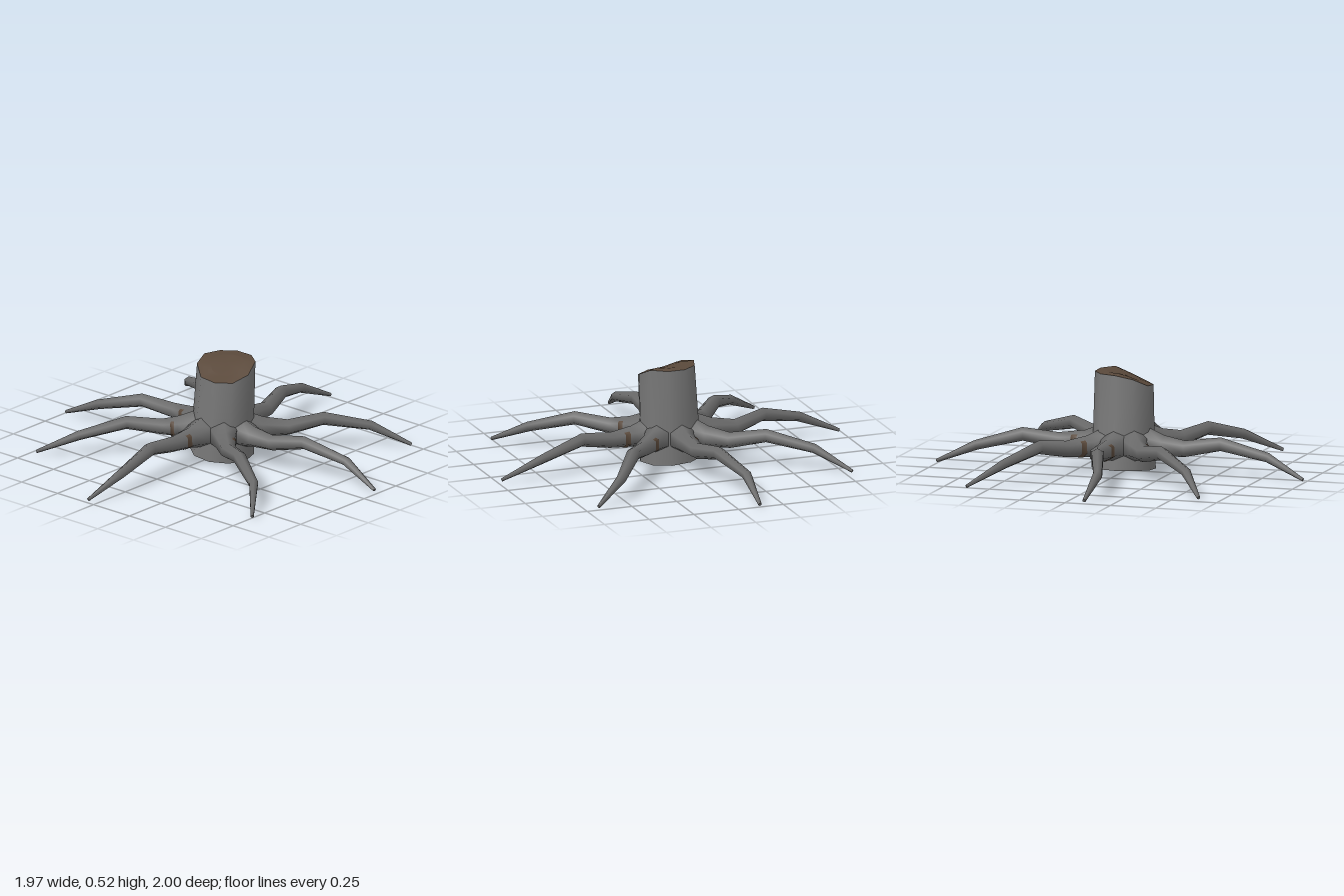
import * as THREE from 'three';

const material = (name, color) => Object.assign(new THREE.MeshStandardMaterial({ color }), { name });
const bark = material('trunk grey', 0x787878);
const rootBark = material('root grey', 0x6b6b6b);
const wood = material('wood brown', 0x5a493b);

// Skin a list of equal-length rings; optional fan caps at either end.
function loft(rings, { closed = true, capStart = false, capEnd = false } = {}) {
  const n = rings[0].length;
  const points = rings.flat();
  const index = [];
  for (let i = 0; i < rings.length - 1; i++) {
    for (let j = 0; j < (closed ? n : n - 1); j++) {
      const a = i * n + j, b = i * n + (j + 1) % n;
      index.push(a, b, b + n, a, b + n, a + n);
    }
  }
  const cap = (ring, flip) => {
    const base = points.length;
    const centre = ring.reduce((s, p) => s.add(p), new THREE.Vector3()).divideScalar(n);
    points.push(...ring, centre);
    for (let j = 0; j < n; j++) {
      const a = base + j, b = base + (j + 1) % n;
      index.push(...(flip ? [b, a, base + n] : [a, b, base + n]));
    }
  };
  if (capStart) cap(rings[0], true);
  if (capEnd) cap(rings[rings.length - 1], false);
  const geometry = new THREE.BufferGeometry().setFromPoints(points);
  geometry.setIndex(index);
  geometry.computeVertexNormals();
  return geometry;
}

function mesh(geometry, mat, name) {
  const m = new THREE.Mesh(geometry, mat);
  m.name = name;
  return m;
}

// Horizontal ten-sided trunk ring; height may vary over the ring.
function trunkRing(cx, cz, radius, height) {
  return Array.from({ length: 10 }, (_, k) => {
    const a = k * Math.PI / 5;
    const x = cx + radius * Math.cos(a), z = cz - radius * Math.sin(a);
    return new THREE.Vector3(x, height(x, z), z);
  });
}

// Six-sided ring across a root, square to its direction, with a ridge on top.
function rootRing(centre, direction, radius) {
  const side = new THREE.Vector3(direction.z, 0, -direction.x).normalize();
  const up = direction.clone().cross(side).normalize();
  return Array.from({ length: 6 }, (_, k) => {
    const a = (k + 0.5) * Math.PI / 3;
    return centre.clone()
      .addScaledVector(side, radius * Math.cos(a))
      .addScaledVector(up, radius * Math.sin(a));
  });
}

// Root plan positions: [knee x, z, bend x, z, tip x, z]
const ROOTS = [
  [-0.01, -0.37, -0.13, -0.78, -0.12, -1.0],
  [0.25, -0.25, 0.505, -0.61, 0.68, -0.735],
  [0.34, -0.025, 0.76, -0.13, 0.98, -0.105],
  [0.25, 0.22, 0.62, 0.44, 0.76, 0.61],
  [-0.035, 0.34, 0.0, 0.78, -0.045, 0.99],
  [-0.25, 0.18, -0.535, 0.51, -0.715, 0.64],
  [-0.35, -0.04, -0.76, 0.1, -0.985, 0.1],
  [-0.24, -0.25, -0.63, -0.465, -0.785, -0.615],
];
const ROOT_RADII = [0.092, 0.057, 0.043, 0.036, 0.026, 0.009];

function createRoot([kx, kz, bx, bz, tx, tz]) {
  const root = new THREE.Group();
  const out = new THREE.Vector3(kx, 0, kz).normalize();
  const knee = new THREE.Vector3(kx, 0.14, kz);
  const bend = new THREE.Vector3(bx, 0.112, bz);
  const path = [
    out.clone().multiplyScalar(0.1).setY(0.155),
    out.clone().multiplyScalar(0.22).setY(0.145),
    knee,
    knee.clone().lerp(bend, 0.43).setY(0.172), // hump between knee and bend
    bend,
    new THREE.Vector3(tx, 0.014, tz),
  ];
  const rings = path.map((p, i) => {
    const before = path[Math.max(i - 1, 0)], after = path[Math.min(i + 1, path.length - 1)];
    const d1 = p.clone().sub(before).normalize(), d2 = after.clone().sub(p).normalize();
    return rootRing(p, d1.add(d2).normalize(), ROOT_RADII[i]);
  });
  root.add(mesh(loft(rings, { capEnd: true }), rootBark, 'rootBody'));

  // Bare wood strip on one flank, just before the knee
  const strip = [0.22, 0.46].map((t) => {
    const centre = path[1].clone().lerp(path[2], t);
    const ring = rings[1].map((p, k) => p.clone().lerp(rings[2][k], t).sub(centre)
      .multiplyScalar(1.06).add(centre));
    return [ring[4], ring[5], ring[0], ring[0].clone().lerp(ring[1], 0.35)];
  });
  root.add(mesh(loft(strip, { closed: false }), wood, 'bareWoodStrip'));
  return root;
}

export function createModel() {
  const model = new THREE.Group();
  model.name = 'treeStump';

  // Trunk, leaning slightly, with a cut sloping down at the front
  const cut = (x, z) => THREE.MathUtils.clamp(
    0.513 - 0.45 * (0.5 * (x - 0.025) + z + 0.017), 0.45, 0.522);
  const bottom = trunkRing(0, -0.012, 0.168, (x) => 0.013 - x * 0.075);
  const middle = trunkRing(0.009, -0.014, 0.16, () => 0.22);
  const top = trunkRing(0.025, -0.017, 0.153, cut);
  model.add(mesh(loft([bottom, middle, top], { capStart: true }), bark, 'trunk'));

  // Cut face, with an inner ring following the slope
  const core = trunkRing(0.03, -0.02, 0.09, cut);
  model.add(mesh(loft([top, core], { capEnd: true }), wood, 'cutFace'));

  // Roots spreading out and down to the ground
  ROOTS.forEach((plan, i) => {
    const root = createRoot(plan);
    root.name = `root${i + 1}`;
    model.add(root);
  });
  return model;
}
